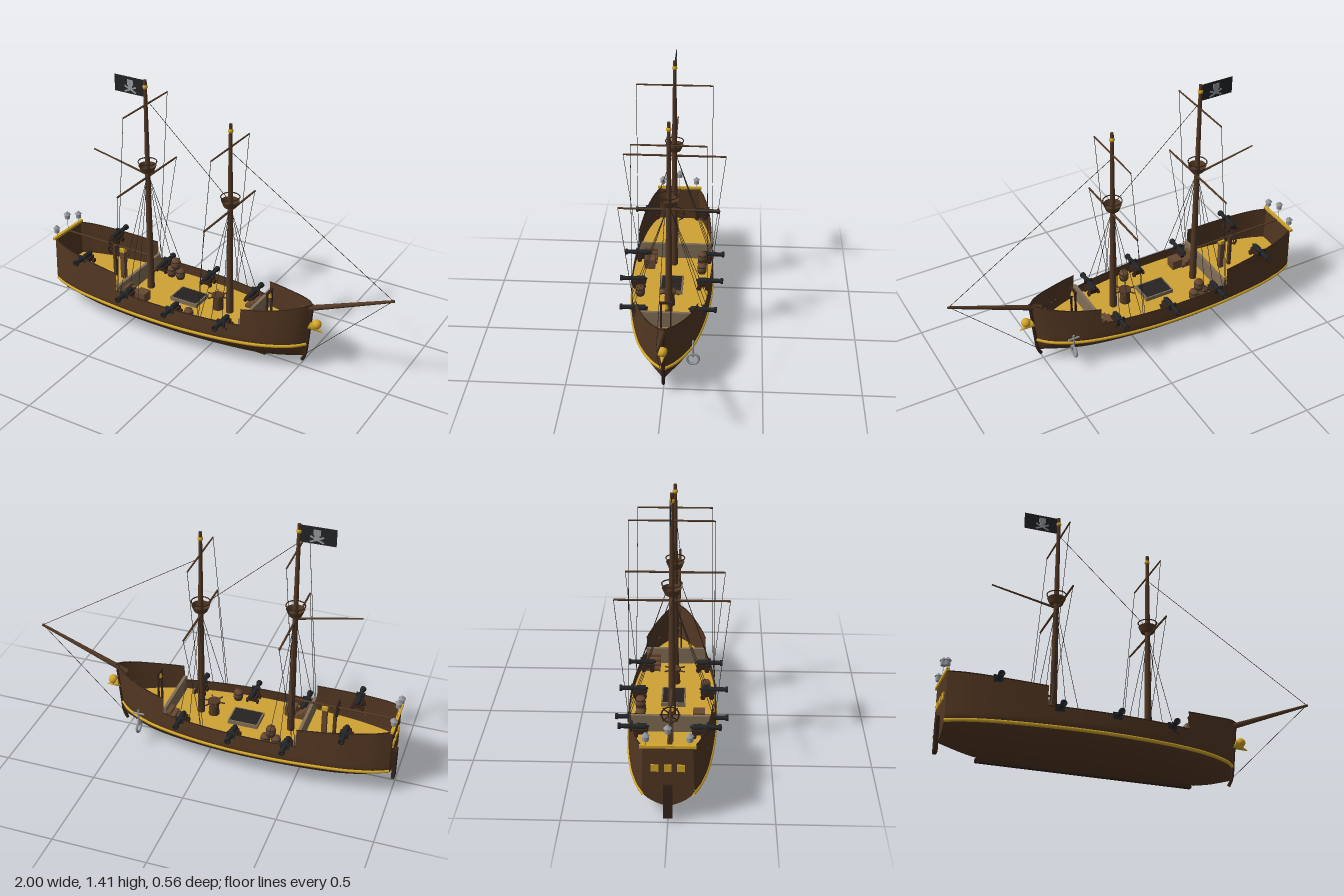
import * as THREE from 'three';

const V = (x, y, z) => new THREE.Vector3(x, y, z);
const M = {};
for (const [name, color] of Object.entries({
  hullBrown: 0x533722, darkWood: 0x36231a, sparWood: 0x523825, deckYellow: 0xcfa234, gold: 0xd4a729,
  ironBlack: 0x222426, metalGrey: 0x96999d, ropeDark: 0x2c2522, crateWood: 0x684830, railTan: 0x806d55,
})) {
  M[name] = new THREE.MeshStandardMaterial({ color, side: THREE.DoubleSide });
  M[name].name = name;
}

// smooth lookup through [x, value] points
function lookup(points) {
  return (x) => {
    const n = points.length;
    if (x <= points[0][0]) return points[0][1];
    if (x >= points[n - 1][0]) return points[n - 1][1];
    let i = 0;
    while (x > points[i + 1][0]) i++;
    const slope = (k) => {
      const a = points[Math.max(k - 1, 0)], b = points[Math.min(k + 1, n - 1)];
      return (b[1] - a[1]) / (b[0] - a[0]);
    };
    const [x0, y0] = points[i], [x1, y1] = points[i + 1], h = x1 - x0, t = (x - x0) / h;
    return y0 * (1 + 2 * t) * (1 - t) ** 2 + y1 * t * t * (3 - 2 * t)
      + h * (slope(i) * t * (1 - t) ** 2 + slope(i + 1) * t * t * (t - 1));
  };
}
const beam = lookup([[-0.98, 0.122], [-0.9, 0.155], [-0.75, 0.189], [-0.5, 0.215], [-0.3, 0.222], [-0.1, 0.216],
  [0.1, 0.193], [0.25, 0.162], [0.36, 0.128], [0.45, 0.088], [0.52, 0.043], [0.56, 0]]);
const bottom = lookup([[-0.98, 0.078], [-0.8, 0.03], [-0.6, 0.01], [0.2, 0.01], [0.4, 0.03], [0.56, 0.07]]);
const sternTop = lookup([[-0.98, 0.393], [-0.72, 0.368], [-0.51, 0.352]]);
const bowTop = lookup([[0.23, 0.342], [0.4, 0.36], [0.56, 0.392]]);
const WAIST = 0.25, DECK = 0.192, BREAK_AFT = -0.51, BREAK_FORE = 0.23, STERN = -0.98, BOW = 0.56;

// point on the hull skin; s = -1..1 runs across the ship
function hullPoint(x, y, s) {
  const b = bottom(x), u = Math.min(1, Math.max(0, (y - b) / (0.17 - b)));
  const f = y < 0.17 ? (1 - (1 - u) ** 2) ** 0.8 : 1 - 0.25 * (y - 0.17);
  const rake = 0.1 * Math.max(0, 0.39 - y) * Math.max(0, (x - 0.3) / 0.26);
  return V(x - rake, y, s * beam(x) * f);
}
function grid(nu, nv, fn) {
  const g = new THREE.PlaneGeometry(1, 1, nu, nv), uv = g.attributes.uv, p = g.attributes.position;
  for (let i = 0; i < p.count; i++) {
    const q = fn(uv.getX(i), uv.getY(i));
    p.setXYZ(i, q.x, q.y, q.z);
  }
  g.computeVertexNormals();
  return g;
}

export function createModel() {
  const ship = new THREE.Group();
  ship.name = 'ship';
  const add = (name, geo, mat, pos, parent = ship) => {
    const m = new THREE.Mesh(geo, mat);
    m.name = name;
    if (pos) m.position.set(...pos);
    parent.add(m);
    return m;
  };
  const box = (name, w, h, d, mat, pos, parent) => add(name, new THREE.BoxGeometry(w, h, d), mat, pos, parent);
  const cyl = (name, rt, rb, h, mat, pos, parent, n = 14) => add(name, new THREE.CylinderGeometry(rt, rb, h, n), mat, pos, parent);
  const bar = (name, a, b, ra, rb, mat, n = 10) => {
    const m = cyl(name, rb, ra, a.distanceTo(b), mat, a.clone().lerp(b, 0.5).toArray(), ship, n);
    m.quaternion.setFromUnitVectors(V(0, 1, 0), b.clone().sub(a).normalize());
    return m;
  };
  const rope = (a, b) => bar('rope', a, b, 0.0014, 0.0014, M.ropeDark, 5);
  const mix = THREE.MathUtils.lerp;

  // hull skin, bulwarks, rails and wale on both sides
  const alongHull = (x0, x1, yAt, s) => new THREE.CatmullRomCurve3(
    Array.from({ length: 31 }, (_, i) => { const x = mix(x0, x1, i / 30); return hullPoint(x, yAt(x), s); }));
  for (const s of [1, -1]) {
    add('hullSide', grid(60, 18, (u, v) => {
      const x = mix(STERN, BOW, u);
      return hullPoint(x, mix(bottom(x), WAIST, v ** 1.7), s);
    }), M.hullBrown);
    for (const [x0, x1, top, name] of [[STERN, BREAK_AFT, sternTop, 'sternBulwark'], [BREAK_FORE, BOW, bowTop, 'bowBulwark']]) {
      add(name, grid(28, 3, (u, v) => {
        const x = mix(x0, x1, u);
        return hullPoint(x, mix(WAIST, top(x), v), s);
      }), M.hullBrown);
      add('rail', new THREE.TubeGeometry(alongHull(x0, x1, top, s), 40, 0.003, 6), M.darkWood);
    }
    add('waistRail', new THREE.TubeGeometry(alongHull(BREAK_AFT, BREAK_FORE, () => WAIST, s), 30, 0.003, 6), M.darkWood);
    add('goldWale', new THREE.TubeGeometry(alongHull(STERN, BOW, () => 0.145, s), 60, 0.0095, 8), M.gold);
  }
  add('transom', grid(10, 16, (u, v) => hullPoint(STERN, mix(bottom(STERN), sternTop(STERN), v), u * 2 - 1)), M.hullBrown);
  for (const z of [-0.06, 0, 0.06]) box('sternWindow', 0.006, 0.036, 0.036, M.gold, [STERN - 0.0035, 0.285, z]);
  box('sternRail', 0.016, 0.014, 0.26, M.gold, [STERN, 0.398, 0]);

  // one deck from stern to bow, with low partitions at the breaks
  add('deck', grid(60, 4, (u, v) => hullPoint(mix(STERN, BOW, u), DECK, v * 2 - 1)), M.deckYellow);
  for (const x of [BREAK_AFT + 0.008, BREAK_FORE - 0.004]) {
    const w = hullPoint(x, 0.28, 1).z * 2 - 0.008;
    box('partition', 0.016, 0.09, w, M.railTan, [x, DECK + 0.045, 0]);
  }

  // keel, rudder and stem
  box('keel', 1.1, 0.018, 0.024, M.darkWood, [-0.25, 0.009, 0]);
  box('rudder', 0.018, 0.18, 0.042, M.darkWood, [-0.99, 0.112, 0]);
  add('stem', new THREE.TubeGeometry(new THREE.CatmullRomCurve3(
    [V(0.512, 0.04, 0), V(0.53, 0.08, 0), V(0.541, 0.17, 0), V(0.551, 0.28, 0), V(0.561, 0.39, 0)]), 20, 0.009, 8), M.darkWood);

  // masts with tops, yards, shrouds and braces
  const mast = (x, top, nestY, upY, upHalf, lowY, lowHalf, ballY) => {
    bar('mast', V(x, 0.19, 0), V(x, top, 0), 0.02, 0.009, M.sparWood, 14);
    add('mastBall', new THREE.SphereGeometry(0.014, 14, 10), M.gold, [x, ballY, 0]);
    add('crowsNest', new THREE.CylinderGeometry(0.048, 0.034, 0.034, 18, 1, true), M.sparWood, [x, nestY, 0]);
    cyl('nestFloor', 0.036, 0.034, 0.006, M.sparWood, [x, nestY - 0.014, 0], ship, 18);
    add('nestRing', new THREE.TorusGeometry(0.049, 0.003, 6, 24), M.darkWood, [x, nestY + 0.038, 0]).rotation.x = Math.PI / 2;
    for (const s of [1, -1]) {
      bar('upperYard', V(x, upY, 0), V(x, upY, s * upHalf), 0.005, 0.004, M.sparWood);
      bar('lowerYard', V(x, lowY, 0), V(x, lowY, s * lowHalf), 0.006, 0.005, M.sparWood);
      rope(V(x, upY, s * upHalf), hullPoint(x - 0.08, WAIST, s));
      rope(V(x, lowY, s * lowHalf), hullPoint(x - 0.07, WAIST, s));
      for (const dx of [-0.06, 0, 0.06]) rope(V(x, lowY, s * 0.01), hullPoint(x + dx, WAIST, s));
    }
  };
  mast(-0.425, 1.41, 0.918, 1.275, 0.202, 0.868, 0.28, 1.372);
  mast(0.075, 1.28, 0.842, 1.155, 0.19, 0.8, 0.26, 1.243);
  bar('gaff', V(-0.425, 0.88, 0), V(-0.765, 0.95, 0), 0.006, 0.004, M.sparWood);
  bar('boom', V(-0.425, 0.39, 0), V(-0.97, 0.392, 0), 0.006, 0.005, M.sparWood);
  bar('bowsprit', V(0.5, 0.348, 0), V(0.995, 0.55, 0), 0.016, 0.007, M.sparWood);
  rope(V(0.99, 0.55, 0), V(0.08, 1.13, 0));
  rope(V(0.99, 0.55, 0), V(0.525, 0.075, 0));
  rope(V(-0.42, 1.305, 0), V(0.06, 0.865, 0));

  // flag with emblem showing on both faces
  box('flag', 0.178, 0.09, 0.003, M.ironBlack, [-0.522, 1.362, 0]);
  box('skull', 0.036, 0.03, 0.008, M.metalGrey, [-0.515, 1.378, 0]);
  box('jaw', 0.024, 0.018, 0.008, M.metalGrey, [-0.515, 1.355, 0]);
  for (const s of [1, -1])
    box('crossedBone', 0.076, 0.009, 0.007, M.metalGrey, [-0.515, 1.341, 0]).rotation.z = s * 0.42;

  // cannons on carriages, pointing outboard through framed ports
  const barrel = new THREE.LatheGeometry([[0, -0.075], [0.006, -0.073], [0.007, -0.064], [0.015, -0.06], [0.016, -0.02],
    [0.013, -0.015], [0.011, 0.058], [0.016, 0.062], [0.016, 0.074], [0.008, 0.075], [0.007, 0.05], [0, 0.05]]
    .map(([r, y]) => new THREE.Vector2(r, y)), 14).rotateX(Math.PI / 2);
  for (const [x, y, muzzle] of [[-0.75, 0.365, 0.245], [-0.455, 0.245, 0.282], [-0.165, 0.245, 0.282], [0.13, 0.245, 0.255]]) {
    for (const s of [1, -1]) {
      const cannon = new THREE.Group();
      cannon.name = 'cannon';
      cannon.position.set(x, y, s * (muzzle - 0.075));
      cannon.rotation.y = s > 0 ? 0 : Math.PI;
      add('barrel', barrel, M.ironBlack, null, cannon);
      box('carriage', 0.046, 0.026, 0.07, M.darkWood, [0, -0.02, -0.03], cannon);
      box('port', 0.046, 0.034, 0.012, M.ironBlack, [0, -0.002, hullPoint(x, y, 1).z - muzzle + 0.075], cannon);
      for (const wx of [-0.028, 0.028]) for (const wz of [-0.055, -0.01])
        cyl('wheel', 0.013, 0.013, 0.01, M.darkWood, [wx, -0.034, wz], cannon).rotation.z = Math.PI / 2;
      ship.add(cannon);
    }
  }

  // stern lanterns
  for (const [z, y] of [[-0.1, 0.427], [0, 0.468], [0.1, 0.427]]) {
    bar('lanternPost', V(STERN, 0.39, z), V(STERN, y, z), 0.0015, 0.0015, M.metalGrey, 6);
    cyl('lantern', 0.015, 0.015, 0.028, M.metalGrey, [STERN, y + 0.014, z], ship, 6);
    add('lanternRoof', new THREE.ConeGeometry(0.021, 0.02, 6), M.metalGrey, [STERN, y + 0.036, z]);
  }

  // steering wheel and binnacle
  add('wheelRim', new THREE.TorusGeometry(0.042, 0.004, 8, 24).rotateY(Math.PI / 2), M.darkWood, [-0.672, 0.384, 0]);
  for (let i = 0; i < 4; i++) box('wheelSpoke', 0.005, 0.1, 0.005, M.darkWood, [-0.672, 0.384, 0]).rotation.x = i * Math.PI / 4;
  box('wheelStand', 0.016, 0.19, 0.02, M.sparWood, [-0.66, 0.294, 0]);
  box('binnacle', 0.026, 0.165, 0.026, M.crateWood, [-0.605, 0.282, 0]);
  box('binnacleTop', 0.03, 0.022, 0.03, M.gold, [-0.605, 0.374, 0]);

  // hatch grating
  box('hatchFrame', 0.165, 0.022, 0.125, M.railTan, [-0.178, 0.203, 0]);
  box('hatchWell', 0.149, 0.024, 0.109, M.ironBlack, [-0.178, 0.204, 0]);
  for (let i = 1; i < 8; i++) box('hatchBar', 0.004, 0.003, 0.109, M.darkWood, [-0.253 + i * 0.0187, 0.217, 0]);

  // capstan
  cyl('capstan', 0.024, 0.03, 0.08, M.sparWood, [0.003, 0.23, 0]);
  cyl('capstanHead', 0.034, 0.034, 0.014, M.sparWood, [0.003, 0.27, 0]);
  for (let i = 0; i < 3; i++) box('capstanBar', 0.12, 0.006, 0.006, M.sparWood, [0.003, 0.27, 0]).rotation.y = i * Math.PI / 3;

  // casks, crate and steps
  const cask = new THREE.LatheGeometry([[0, -0.028], [0.021, -0.028], [0.027, 0], [0.021, 0.028], [0, 0.028]]
    .map(([r, y]) => new THREE.Vector2(r, y)), 14);
  for (const [x, y, z] of [[-0.392, 0.22, -0.16], [-0.363, 0.276, -0.16], [-0.334, 0.22, -0.16], [-0.08, 0.22, 0.165]]) {
    add('cask', cask, M.crateWood, [x, y, z]);
    for (const dy of [-0.014, 0.014]) cyl('caskHoop', 0.0255, 0.0255, 0.004, M.ironBlack, [x, y + dy, z]);
  }
  box('crate', 0.06, 0.055, 0.06, M.crateWood, [-0.39, 0.219, 0.135]);
  for (let i = 0; i < 4; i++) {
    const h = 0.064 - i * 0.016;
    box('aftStep', 0.02, h, 0.075, M.crateWood, [-0.485 + i * 0.02, DECK + h / 2, 0.135]);
    box('foreStep', 0.024, h, 0.075, M.crateWood, [0.206 - i * 0.024, DECK + h / 2, -0.12]);
  }

  // bell frame forward
  for (const z of [-0.025, 0.025]) box('bellPost', 0.01, 0.205, 0.008, M.darkWood, [0.312, 0.2925, z]);
  box('bellBeam', 0.012, 0.01, 0.064, M.darkWood, [0.312, 0.392, 0]);
  cyl('bell', 0.007, 0.014, 0.026, M.gold, [0.312, 0.373, 0]);

  // figurehead
  add('figureheadHead', new THREE.SphereGeometry(0.025, 18, 14), M.gold, [0.588, 0.282, 0]);
  bar('figureheadBody', V(0.55, 0.268, 0), V(0.626, 0.242, 0), 0.024, 0.001, M.gold, 14);

  // anchor hanging off the starboard bow
  add('anchorRing', new THREE.TorusGeometry(0.03, 0.007, 8, 24).rotateY(Math.PI / 2), M.metalGrey, [0.385, 0.108, -0.142]);
  bar('anchorShank', V(0.385, 0.12, -0.142), V(0.385, 0.217, -0.142), 0.006, 0.005, M.metalGrey);
  bar('anchorStock', V(0.353, 0.195, -0.142), V(0.417, 0.195, -0.142), 0.005, 0.005, M.metalGrey);
  return ship;
}
